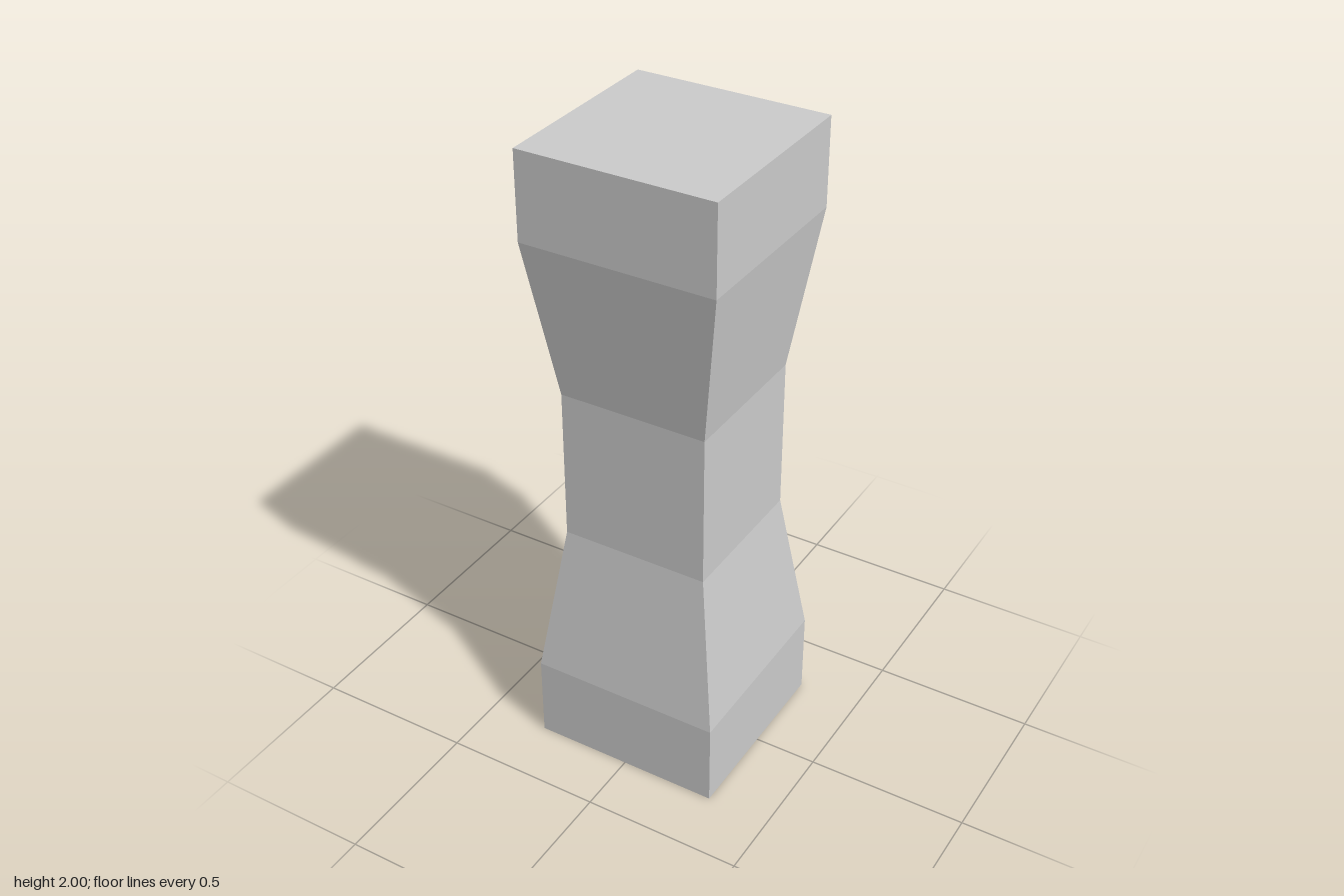
import * as THREE from 'three';

// Height and half-width of each square ring, bottom to top
const RINGS = [
  [0, 0.302], [0.27, 0.302], [0.76, 0.232],
  [1.24, 0.232], [1.73, 0.302], [2, 0.302],
];

// Square box whose height rings are moved onto the profile
function squarePillar(rings) {
  const steps = rings.length - 1;
  const box = new THREE.BoxGeometry(2, steps, 2, 1, steps, 1);
  const pos = box.attributes.position;
  for (let i = 0; i < pos.count; i++) {
    const [y, half] = rings[Math.round(pos.getY(i) + steps / 2)];
    pos.setXYZ(i, pos.getX(i) * half, y, pos.getZ(i) * half);
  }
  const geometry = box.toNonIndexed();
  geometry.computeVertexNormals();
  return geometry;
}

export function createModel() {
  const group = new THREE.Group();
  group.name = 'pillar';

  // Shaft with a narrow waist between equal base and top blocks
  const material = new THREE.MeshStandardMaterial({ color: 0xcccccc, flatShading: true });
  const pillar = new THREE.Mesh(squarePillar(RINGS), material);
  pillar.name = 'pillarBody';
  group.add(pillar);

  return group;
}
